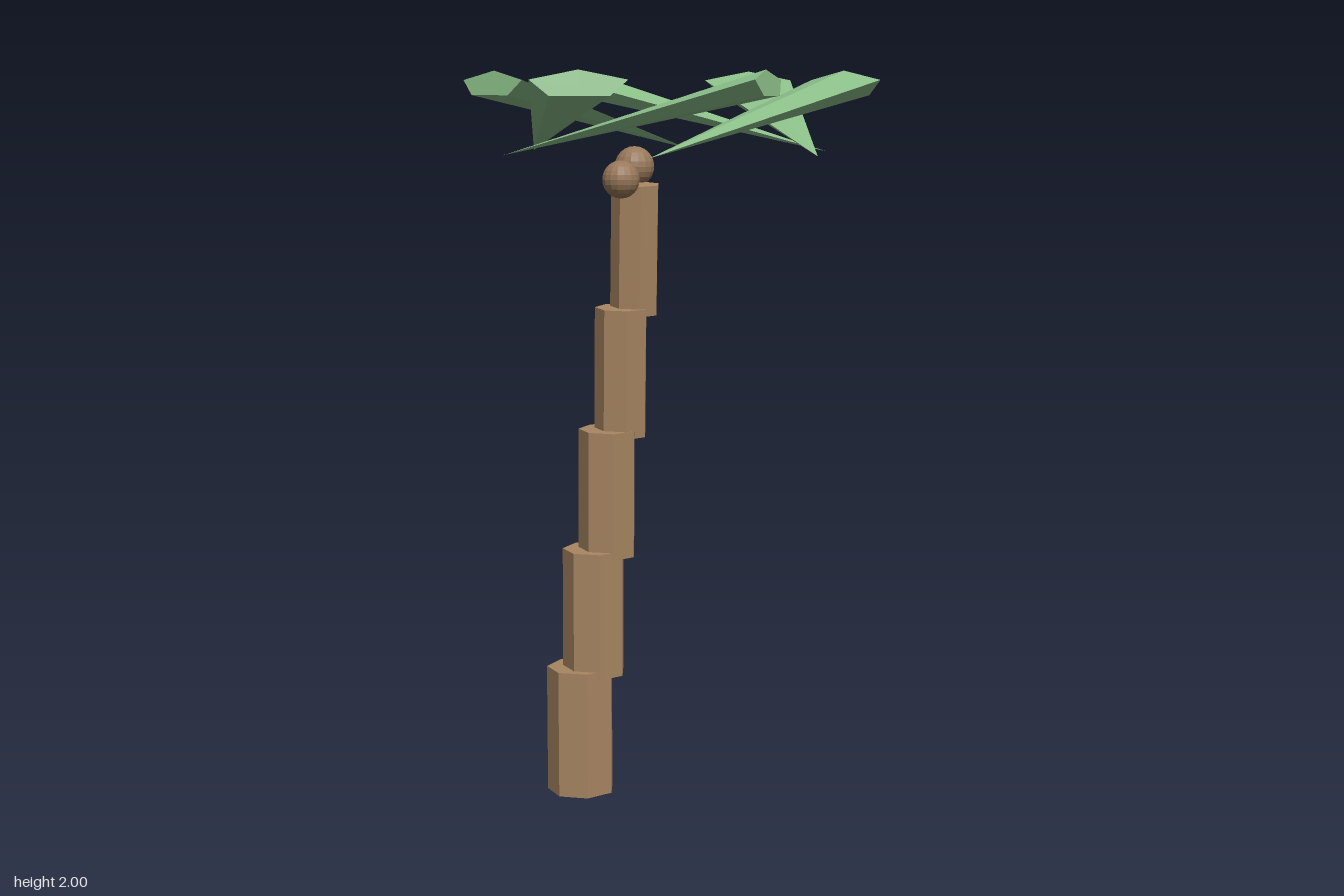
import * as THREE from 'three';

const mat = (color) => new THREE.MeshStandardMaterial({ color, flatShading: true });

export function createModel() {
  const model = new THREE.Group();
  model.name = 'palmTree';
  const bark = mat(0xa88662);
  const leaf = mat(0x8cc08a);
  const shell = mat(0x98785a);

  function add(name, geometry, material, parent = model) {
    const mesh = new THREE.Mesh(geometry, material);
    mesh.name = name;
    parent.add(mesh);
    return mesh;
  }

  // Trunk: stacked seven-sided segments, stepping sideways and leaning a little more each time
  const trunk = new THREE.Group();
  trunk.name = 'trunk';
  model.add(trunk);
  for (let i = 0; i < 5; i++) {
    const r = 0.095 - i * 0.007;
    const segment = add(`trunkSegment${i + 1}`, new THREE.CylinderGeometry(r, r, 0.355, 7), bark, trunk);
    segment.position.set(-0.253 + i * 0.0395, 0.1775 + i * 0.335, 0);
    segment.rotation.x = THREE.MathUtils.degToRad(i);
  }

  // Coconuts
  for (const [x, y, z, r] of [[-0.148, 1.71, 0.07, 0.051], [-0.085, 1.74, -0.055, 0.055]]) {
    add('coconut', new THREE.SphereGeometry(r, 16, 12), shell).position.set(x, y, z);
  }

  // Fronds: flattened five-sided cones in a ring, wide end high and tip dipping
  const tip = new THREE.Vector3(0.314, 1.777, 0.36);
  const base = new THREE.Vector3(0.314, 1.962, -0.363);
  const frondGeometry = new THREE.ConeGeometry(0.134, tip.distanceTo(base), 5);
  frondGeometry.rotateY(Math.PI); // one ridge ends up on top
  frondGeometry.rotateX(Math.PI / 2); // tip towards +z
  frondGeometry.scale(1, 0.28, 1);
  const pitch = Math.atan2(base.y - tip.y, tip.z - base.z);
  for (let i = 0; i < 6; i++) {
    const pivot = new THREE.Group();
    pivot.name = `frond${i + 1}`;
    pivot.rotation.y = (i * Math.PI) / 3;
    model.add(pivot);
    const blade = add('frondBlade', frondGeometry, leaf, pivot);
    blade.position.copy(tip).add(base).multiplyScalar(0.5);
    blade.rotation.x = pitch;
  }

  return model;
}
